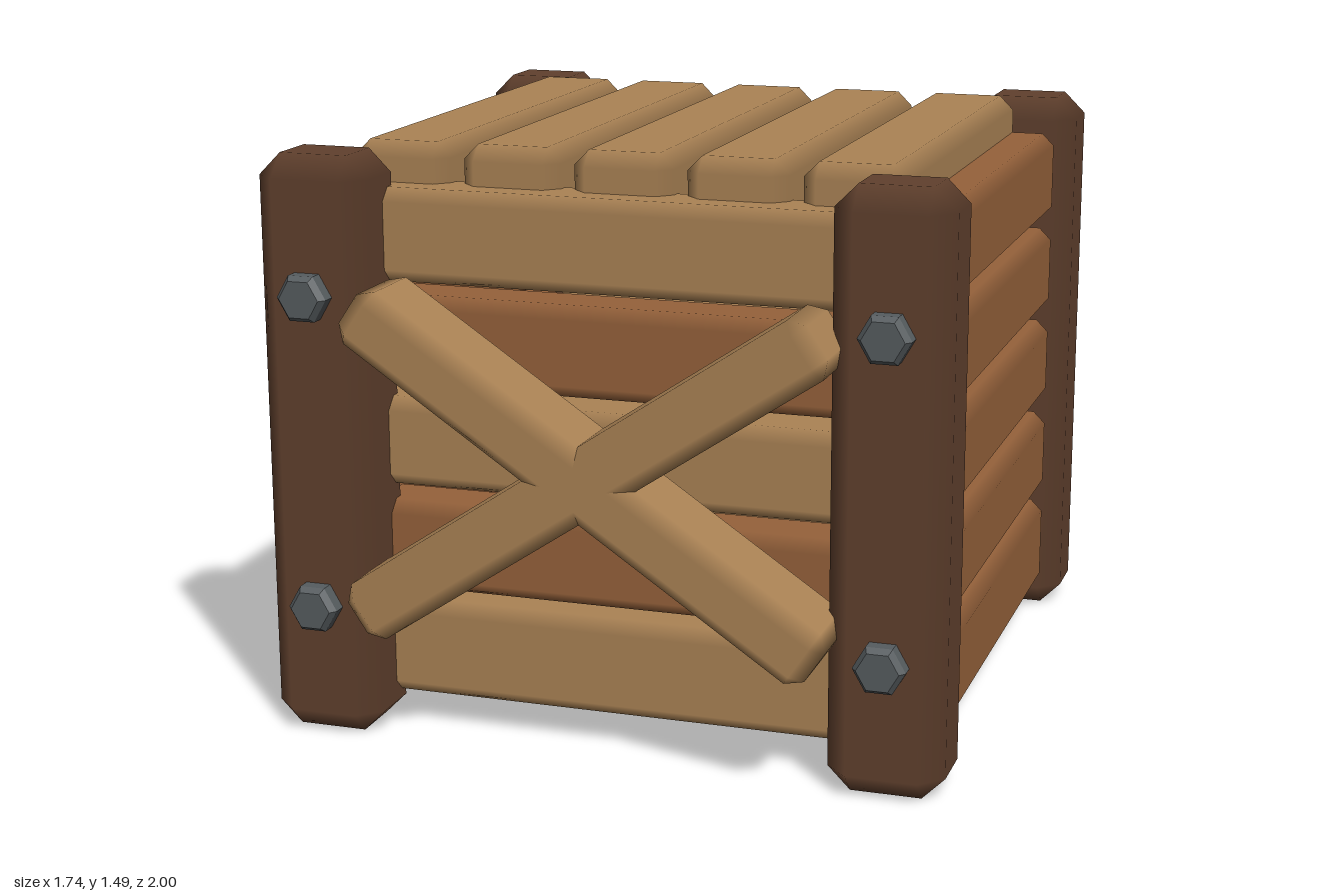
import * as THREE from 'three';

const material = (name, color) => {
  const m = new THREE.MeshStandardMaterial({ color });
  m.name = name;
  return m;
};

// Box with 45 degree chamfers; flat faces keep their normals and the chamfers blend between them
function chamferBox(w, h, d, c) {
  const half = [w / 2, h / 2, d / 2];
  const pos = [], nor = [], index = [];
  const id = (signs, axis) => ((signs[0] > 0) * 4 + (signs[1] > 0) * 2 + (signs[2] > 0)) * 3 + axis;
  const point = (i) => new THREE.Vector3().fromArray(pos, i * 3);
  const tri = (a, b, e) => {
    const [A, B, E] = [a, b, e].map(point);
    const out = B.clone().sub(A).cross(E.clone().sub(A)).dot(A);
    index.push(...(out > 0 ? [a, b, e] : [a, e, b]));
  };
  const quad = (a, b, e, f) => { tri(a, b, e); tri(a, e, f); };

  // three vertices at each corner, one for each face that meets there
  const corners = [];
  for (const x of [-1, 1]) for (const y of [-1, 1]) for (const z of [-1, 1]) corners.push([x, y, z]);
  for (const s of corners) for (let a = 0; a < 3; a++) {
    s.forEach((v, k) => {
      pos.push(v * (half[k] - (k === a ? 0 : c)));
      nor.push(k === a ? v : 0);
    });
  }
  for (const s of corners) tri(id(s, 0), id(s, 1), id(s, 2));

  for (let a = 0; a < 3; a++) {
    const b = (a + 1) % 3, e = (a + 2) % 3;
    const signs = (va, vb, ve) => {
      const s = [0, 0, 0];
      s[a] = va; s[b] = vb; s[e] = ve;
      return s;
    };
    // two faces across this axis
    for (const v of [-1, 1])
      quad(id(signs(v, -1, -1), a), id(signs(v, 1, -1), a), id(signs(v, 1, 1), a), id(signs(v, -1, 1), a));
    // four edge chamfers along this axis
    for (const vb of [-1, 1]) for (const ve of [-1, 1])
      quad(id(signs(-1, vb, ve), b), id(signs(1, vb, ve), b), id(signs(1, vb, ve), e), id(signs(-1, vb, ve), e));
  }
  const g = new THREE.BufferGeometry();
  g.setAttribute('position', new THREE.Float32BufferAttribute(pos, 3));
  g.setAttribute('normal', new THREE.Float32BufferAttribute(nor, 3));
  g.setIndex(index);
  return g;
}

// Faceted hexagonal bolt head, axis along +z, base at z = 0
function boltHead() {
  const profile = [[0.065, -0.02], [0.065, 0.035], [0.052, 0.052], [0, 0.052]]
    .map(([r, y]) => new THREE.Vector2(r, y));
  const g = new THREE.LatheGeometry(profile, 6, Math.PI / 2).toNonIndexed();
  g.rotateX(Math.PI / 2);
  g.computeVertexNormals();
  return g;
}

export function createModel() {
  const crate = new THREE.Group();
  crate.name = 'crate';
  const paleWood = material('paleWood', 0xab8355);
  const warmWood = material('warmWood', 0x96623b);
  const darkWood = material('darkWood', 0x60402d);
  const iron = material('iron', 0x565c5f);

  const add = (name, geometry, mat, x, y, z) => {
    const mesh = new THREE.Mesh(geometry, mat);
    mesh.name = name;
    mesh.position.set(x, y, z);
    crate.add(mesh);
    return mesh;
  };

  // corner posts, each with two bolts on its outer face
  const post = chamferBox(0.29, 1.475, 0.245, 0.057);
  const bolt = boltHead();
  for (const x of [-0.725, 0.725]) for (const s of [-1, 1]) {
    add('cornerPost', post, darkWood, x, 0.7375, s * 0.763);
    for (const y of [0.345, 1.135]) {
      const head = add('bolt', bolt, iron, x, y, s > 0 ? 0.885 : -0.868);
      if (s < 0) head.rotation.y = Math.PI;
    }
  }

  // wall planks in five rows: [bottom, top]
  const rows = [[0.08, 0.33], [0.36, 0.59], [0.63, 0.857], [0.89, 1.12], [1.15, 1.385]];
  rows.forEach(([y0, y1], i) => {
    const y = (y0 + y1) / 2, h = y1 - y0;
    const endPlank = chamferBox(1.3, h, 0.185, 0.032);
    const sidePlank = chamferBox(0.185, h, 1.3, 0.032);
    for (const s of [-1, 1]) {
      add(s > 0 ? 'frontPlank' : 'backPlank', endPlank, i % 2 ? warmWood : paleWood, 0, y, s * 0.66);
      add(s > 0 ? 'leftPlank' : 'rightPlank', sidePlank, warmWood, s * 0.73, y, 0);
    }
  });

  // lid planks
  const lidPlank = chamferBox(0.256, 0.18, 1.315, 0.038);
  for (let i = -2; i <= 2; i++) add('lidPlank', lidPlank, paleWood, i * 0.289, 1.395, 0);

  // floor
  add('floor', new THREE.BoxGeometry(1.4, 0.08, 1.26), darkWood, 0, 0.125, 0);

  // crossed braces on the front and back
  const brace = chamferBox(1.4, 0.16, 0.25, 0.036);
  for (const s of [-1, 1]) for (const tilt of [-1, 1])
    add(s > 0 ? 'frontBrace' : 'backBrace', brace, paleWood, 0, 0.74, s * 0.875).rotation.z = tilt * 0.59;

  return crate;
}
